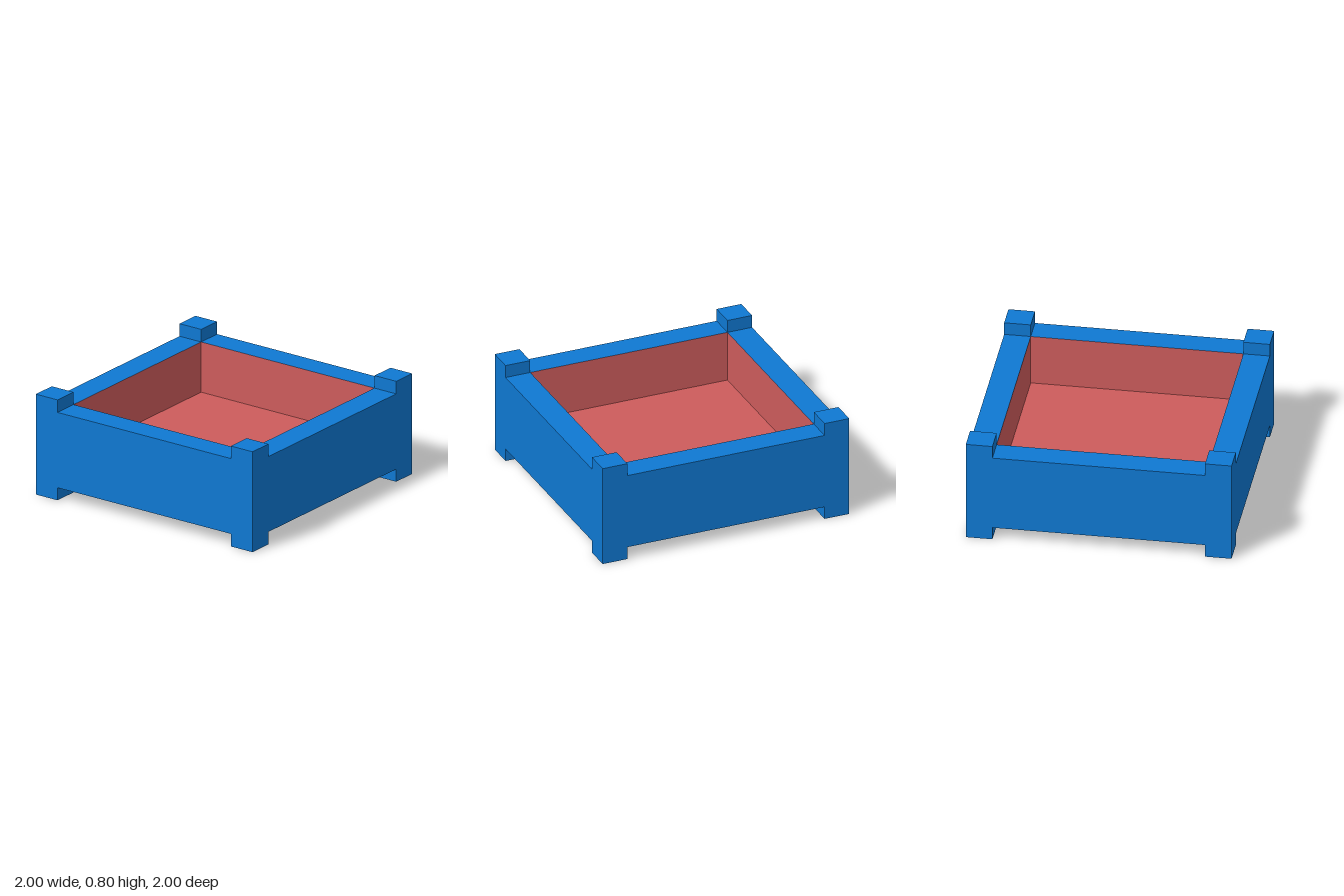
import * as THREE from 'three';

export function createModel() {
  const blue = new THREE.MeshStandardMaterial({ color: 0x0f78d2 });
  blue.name = 'blue frame';
  const red = new THREE.MeshStandardMaterial({ color: 0xcd5c5c });
  red.name = 'red lining';

  const model = new THREE.Group();
  model.name = 'openTray';

  // Box resting at height y0, with either one material or one per face
  const addBox = (name, [w, h, d], [x, y0, z], material, parent) => {
    const mesh = new THREE.Mesh(new THREE.BoxGeometry(w, h, d), material);
    mesh.name = name;
    mesh.position.set(x, y0 + h / 2, z);
    parent.add(mesh);
  };

  // Floor slab: red on top, blue underneath
  addBox('floor', [1.6, 0.2, 1.6], [0, 0.1, 0], [blue, blue, red, blue, blue, blue], model);

  // Four sides, each a wall with a red inner face and one corner post
  ['front', 'left', 'back', 'right'].forEach((side, i) => {
    const group = new THREE.Group();
    group.name = side + 'Side';
    group.rotation.y = i * Math.PI / 2;
    addBox(side + 'Wall', [1.6, 0.6, 0.2], [0, 0.1, 0.9], [blue, blue, blue, blue, blue, red], group);
    addBox(side + 'CornerPost', [0.2, 0.8, 0.2], [0.9, 0, 0.9], blue, group);
    model.add(group);
  });

  return model;
}
